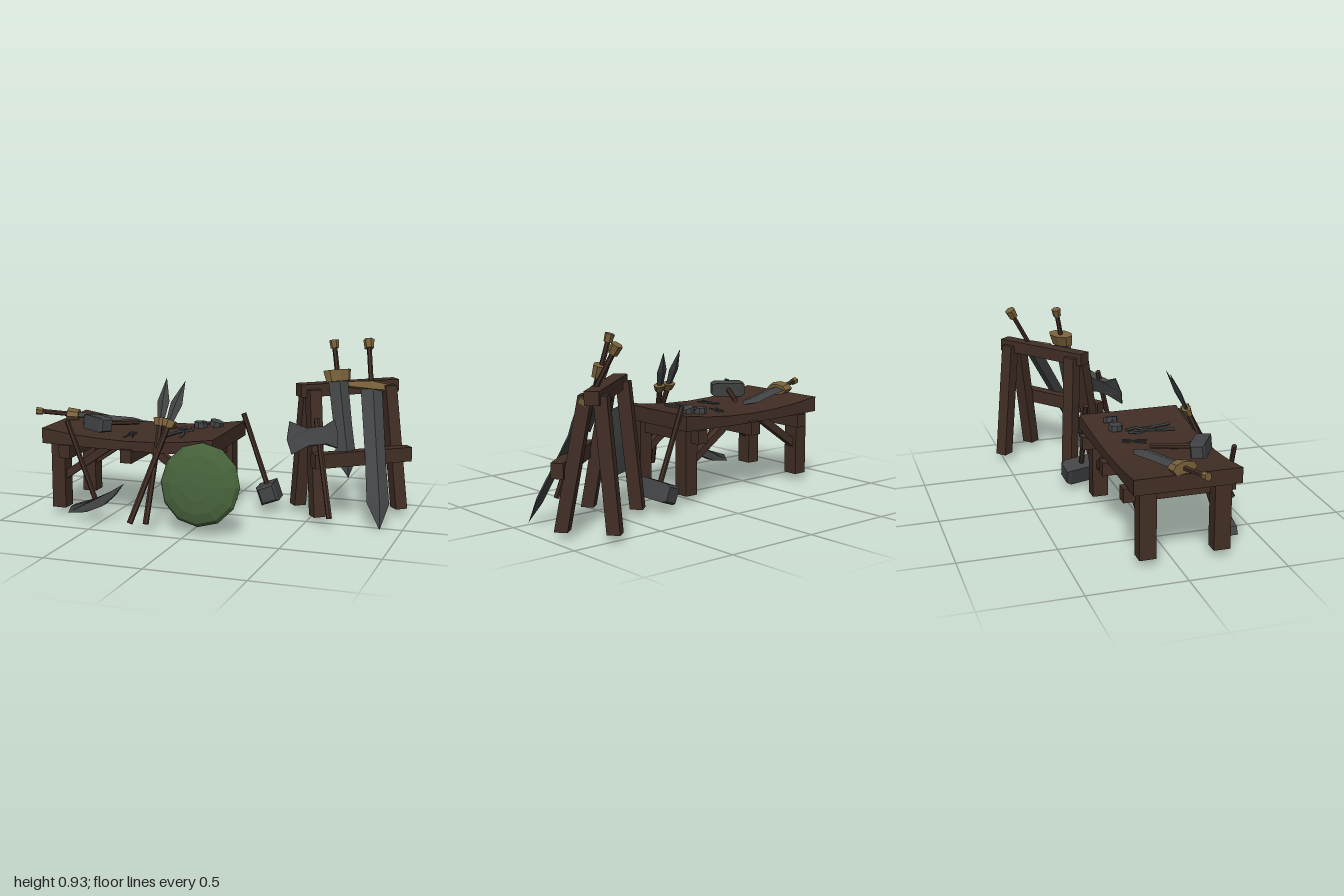
import * as THREE from 'three';

const mat = (name, color) => {
  const m = new THREE.MeshStandardMaterial({ color, flatShading: true });
  m.name = name;
  return m;
};
const V = (a) => new THREE.Vector3(...a);

export function createModel() {
  const wood = mat('darkWood', 0x412e25);
  const steel = mat('steel', 0x414344);
  const brass = mat('brass', 0x78603a);
  const green = mat('shieldGreen', 0x46613a);
  const root = new THREE.Group();

  const add = (parent, name, geo, m, pos = [0, 0, 0], rot = [0, 0, 0]) => {
    const mesh = new THREE.Mesh(geo, m);
    mesh.name = name;
    mesh.position.set(...pos);
    mesh.rotation.set(...rot);
    parent.add(mesh);
    return mesh;
  };
  const box = (parent, name, size, m, pos, rot) => add(parent, name, new THREE.BoxGeometry(...size), m, pos, rot);

  // Group whose y axis runs from one point to another and whose x axis follows "side"
  const along = (name, from, to, side) => {
    const g = new THREE.Group();
    g.name = name;
    const y = V(to).sub(V(from)).normalize();
    const x = V(side).addScaledVector(y, -V(side).dot(y)).normalize();
    g.quaternion.setFromRotationMatrix(new THREE.Matrix4().makeBasis(x, y, x.clone().cross(y)));
    g.position.set(...from);
    root.add(g);
    return g;
  };
  const dist = (a, b) => V(a).distanceTo(V(b));
  // Round stick between two points, optionally in a group's own space
  const rod = (parent, name, from, to, r, m, sides = 6) => {
    const mesh = add(parent, name, new THREE.CylinderGeometry(r, r, dist(from, to), sides), m);
    mesh.position.copy(V(from).add(V(to)).multiplyScalar(0.5));
    mesh.quaternion.setFromUnitVectors(V([0, 1, 0]), V(to).sub(V(from)).normalize());
    return mesh;
  };
  // Diamond-section blade from [half width, y] pairs
  const blade = (parent, name, pts, flat) =>
    add(parent, name, new THREE.LatheGeometry(pts.map((p) => new THREE.Vector2(...p)), 4).scale(1, 1, flat), steel);
  const extrude = (pts, depth) =>
    new THREE.ExtrudeGeometry(new THREE.Shape(pts.map((p) => new THREE.Vector2(...p))), { depth, bevelEnabled: false })
      .translate(0, 0, -depth / 2);

  // ---- Workbench: sagging top, bearers, legs and braces
  const bench = new THREE.Group();
  bench.name = 'workbench';
  root.add(bench);
  const cx = -0.37, cz = 0.05;
  const topY = (x) => 0.47 - 0.04 * (1 - ((x - cx) / 0.47) ** 2);
  const topGeo = new THREE.BoxGeometry(0.94, 0.08, 0.54, 6, 1, 1).translate(cx, 0.43, cz);
  const tp = topGeo.attributes.position;
  for (let i = 0; i < tp.count; i++) {
    const sag = 0.47 - topY(tp.getX(i));
    tp.setY(i, tp.getY(i) - sag * (tp.getY(i) > 0.43 ? 1 : 0.25));
    tp.setZ(i, cz + (tp.getZ(i) - cz) * (1 - sag * 0.9));
  }
  add(bench, 'benchTop', topGeo, wood);
  for (const x of [-0.713, -0.367, 0.005]) box(bench, 'bearer', [0.062, 0.07, 0.565], wood, [x, 0.353, 0.043]);
  for (const s of [-1, 1]) {
    for (const t of [-1, 1]) {
      const z = cz + t * 0.188;
      box(bench, 'benchLeg', [0.075, 0.36, 0.085], wood, [cx + s * 0.4, 0.22, z]);
      box(bench, 'benchBrace', [0.36, 0.04, 0.04], wood, [cx + s * 0.25, 0.295, z], [0, 0, -s * 0.6]);
    }
  }

  // ---- Weapon rack: top rail, front rail and splayed legs, turned on the floor
  const rack = new THREE.Group();
  rack.name = 'rack';
  rack.position.set(0.642, 0, -0.275);
  rack.rotation.y = 0.68;
  root.add(rack);
  box(rack, 'topRail', [0.56, 0.066, 0.07], wood, [0, 0.672, 0]);
  box(rack, 'frontRail', [0.55, 0.075, 0.06], wood, [0.007, 0.333, 0.165]);
  for (const x of [-0.235, 0.235]) {
    for (const [top, bottom] of [[0.04, 0.157], [-0.03, -0.093]]) {
      const g = new THREE.BoxGeometry(0.065, 0.64, 0.065);
      const p = g.attributes.position;
      for (let i = 0; i < p.count; i++) {
        const up = p.getY(i) > 0;
        p.setZ(i, p.getZ(i) + (up ? top : bottom));
        p.setX(i, p.getX(i) + (up ? x * 0.92 : x));
      }
      add(rack, 'rackLeg', g, wood, [0, 0.36, 0]);
    }
  }
  const railDir = [0.778, 0, -0.629];

  // ---- Swords: pommel at the origin, tip along +y
  const sword = (name, from, to, side, guardAt, hw, pommelR, longGuard) => {
    const g = along(name, from, to, side);
    const L = dist(from, to), B = L - guardAt;
    add(g, 'pommel', new THREE.CylinderGeometry(pommelR * 0.85, pommelR, pommelR * 1.7, 6), brass);
    rod(g, 'grip', [0, 0, 0], [0, guardAt, 0], 0.013, wood);
    if (longGuard) {
      const pts = [[-0.14, -0.012], [0, -0.028], [0.14, -0.012], [0.14, 0.014], [0, 0.016], [-0.14, 0.014]];
      add(g, 'guard', extrude(pts, 0.045), brass, [0, guardAt, 0]);
    } else {
      const cup = new THREE.CylinderGeometry(hw * 1.2, hw * 1.4, 0.06, 8).scale(1, 1, 0.5);
      add(g, 'guard', cup, brass, [0, guardAt, 0]);
    }
    blade(g, 'blade', [[0, guardAt], [hw, guardAt], [hw * 0.93, guardAt + B * 0.5],
      [hw, guardAt + B * 0.82], [0, L]], 0.3);
  };
  sword('greatSword', [0.714, 0.882, -0.437], [0.89, 0.005, 0.034], railDir, 0.245, 0.062, 0.029, true);
  sword('rackSword', [0.58, 0.904, -0.214], [0.7, 0.235, -0.075], railDir, 0.165, 0.056, 0.025, false);
  sword('benchSword', [-0.975, 0.508, 0.08], [-0.42, 0.455, -0.09], [0.29, 0, 0.957], 0.185, 0.05, 0.021, false);

  // ---- Double axe leaning on the rack
  const axeFoot = [0.655, 0.07, 0.137], axeTop = [0.548, 0.555, 0.01];
  const axe = along('axe', axeFoot, axeTop, [0.87, 0, -0.45]);
  rod(axe, 'axeHandle', [0, 0, 0], [0, 0.51, 0], 0.015, wood);
  const head = extrude([[-0.15, -0.08], [-0.165, 0.0], [-0.14, 0.09], [-0.06, 0.045], [0.03, 0.045], [0.09, 0.075],
    [0.1, 0], [0.085, -0.07], [0.03, -0.045], [-0.06, -0.045]], 0.05);
  const hp = head.attributes.position;
  for (let i = 0; i < hp.count; i++) hp.setZ(i, hp.getZ(i) * Math.max(0.1, 1 - Math.abs(hp.getX(i)) / 0.15));
  add(axe, 'axeHead', head, steel, [0, 0.42, 0]);

  // ---- Crossed spears leaning on the bench
  for (const [from, to] of [[[-0.27, 0.06, 0.51], [-0.09, 0.738, 0.19]], [[-0.19, 0.06, 0.495], [-0.195, 0.748, 0.178]]]) {
    const g = along('spear', from, to, [1, 0, 0]);
    const L = dist(from, to), s = L - 0.235;
    rod(g, 'shaft', [0, 0, 0], [0, s, 0], 0.015, wood);
    add(g, 'collar', new THREE.CylinderGeometry(0.042, 0.03, 0.04, 6).scale(1, 1, 0.6), brass, [0, s, 0]);
    blade(g, 'spearhead', [[0, s], [0.018, s], [0.032, s + 0.11], [0, L]], 0.4);
  }

  // ---- Round shield: domed face and plain back
  const shield = new THREE.Group();
  shield.name = 'shield';
  shield.position.set(0.055, 0.253, 0.378);
  shield.rotation.x = -0.18;
  root.add(shield);
  const dome = new THREE.SphereGeometry(0.21, 12, 4, 0, Math.PI * 2, 0, Math.PI / 2).rotateX(Math.PI / 2).scale(1, 1, 0.26);
  add(shield, 'shieldFace', dome, green);
  add(shield, 'shieldBack', new THREE.ConeGeometry(0.21, 0.012, 12).rotateX(-Math.PI / 2), steel, [0, 0, -0.006]);

  // ---- Pickaxe leaning on the front of the bench
  const pick = new THREE.Group();
  pick.name = 'pickaxe';
  root.add(pick);
  rod(pick, 'pickHandle', [-0.687, 0.52, 0.335], [-0.522, 0.1, 0.348], 0.013, wood);
  const pickGeo = extrude([[-0.675, 0.042], [-0.57, 0.055], [-0.48, 0.095], [-0.42, 0.15], [-0.37, 0.215],
    [-0.45, 0.165], [-0.54, 0.12], [-0.655, 0.08]], 0.055);
  const pp = pickGeo.attributes.position;
  for (let i = 0; i < pp.count; i++) pp.setZ(i, pp.getZ(i) * Math.min(1, Math.max(0.1, (0.23 - pp.getY(i)) / 0.13)));
  add(pick, 'pickHead', pickGeo, steel, [0, 0, 0.347]);

  // ---- Hammers: head centred on the origin end, handle along +y
  const hammer = (name, from, to, side, size, r) => {
    const g = along(name, from, to, side);
    rod(g, 'hammerHandle', [0, 0, 0], [0, dist(from, to), 0], r, wood);
    const [l, h] = size;
    box(g, 'hammerHead', [l * 0.78, h, h], steel);
    for (const s of [-1, 1]) {
      const end = new THREE.CylinderGeometry(h * 0.54, h * 0.7071, l * 0.11, 4).rotateY(Math.PI / 4).rotateZ(-s * Math.PI / 2);
      add(g, 'hammerFace', end, steel, [s * l * 0.445, 0, 0]);
    }
  };
  hammer('sledgehammer', [0.25, 0.1, -0.175], [0.1, 0.515, -0.185], [0.18, 0, 0.98], [0.2, 0.098], 0.014);
  hammer('benchHammer', [-0.573, 0.492, 0.208], [-0.435, 0.467, -0.005], [0.88, 0, 0.48], [0.185, 0.075], 0.014);

  // ---- Tongs: two bent arms crossing at a rivet
  const tongs = (x, z, len, yaw) => {
    const g = new THREE.Group();
    g.name = 'tongs';
    g.position.set(x, topY(x) + len * 0.04, z);
    g.rotation.y = yaw;
    root.add(g);
    const r = len * 0.035;
    for (const s of [-1, 1]) {
      const pts = [[s * 0.17, 0, 0.5], [s * 0.1, 0, 0.1], [0, 0, -0.12], [-s * 0.16, 0, -0.28], [-s * 0.07, 0, -0.5]]
        .map((p) => p.map((c) => c * len));
      for (let i = 0; i < 4; i++) rod(g, 'tongArm', pts[i], pts[i + 1], r, steel, 5);
    }
    add(g, 'rivet', new THREE.CylinderGeometry(r * 1.5, r * 1.5, r * 3, 6), steel, [0, 0, -0.12 * len]);
  };
  tongs(-0.155, 0.085, 0.24, 0);
  tongs(-0.4, 0.17, 0.13, 0.15);
  tongs(-0.275, -0.035, 0.12, -0.35);

  // ---- Pair of linked cups on the bench
  const cups = new THREE.Group();
  cups.name = 'linkedCups';
  root.add(cups);
  for (const [x, tilt] of [[-0.108, 0], [-0.018, -0.3]]) {
    add(cups, 'cup', new THREE.CylinderGeometry(0.036, 0.038, 0.03, 8), steel, [x, topY(x) + 0.018, -0.085], [0, 0, tilt]);
  }
  rod(cups, 'link', [-0.1, 0.468, -0.085], [-0.02, 0.472, -0.085], 0.009, steel);

  return root;
}
